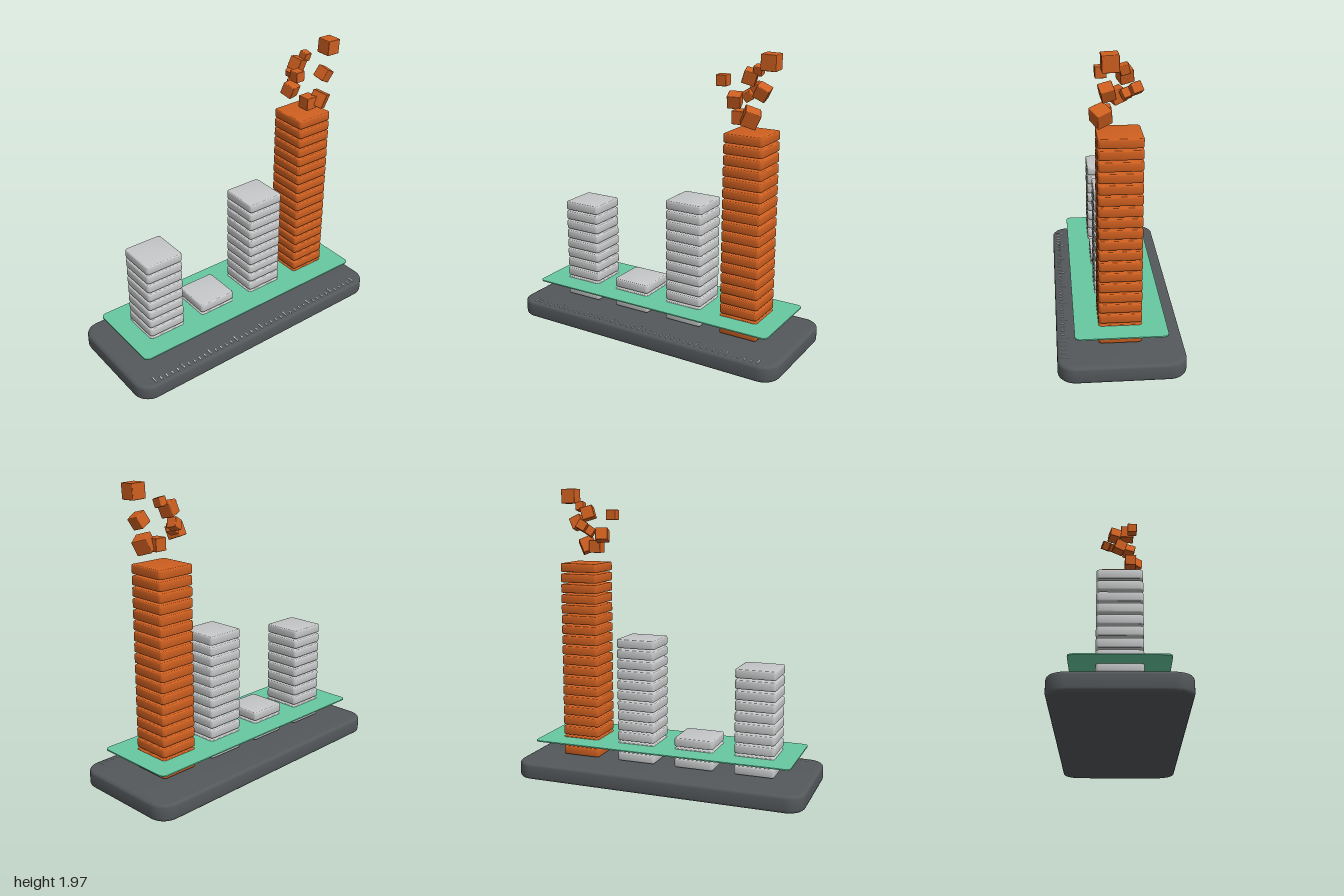
import * as THREE from 'three';
import { toCreasedNormals } from 'three/addons/utils/BufferGeometryUtils.js';
import { RoundedBoxGeometry } from 'three/addons/geometries/RoundedBoxGeometry.js';

const mat = (name, color) => {
  const m = new THREE.MeshStandardMaterial({ color });
  m.name = name;
  return m;
};

// Flat slab with rounded corners and bevelled rims, resting on y = 0
function slabGeometry(width, height, depth, radius, bevel) {
  const x = width / 2, y = depth / 2, r = radius;
  const s = new THREE.Shape();
  s.moveTo(-x + r, -y);
  s.lineTo(x - r, -y);
  s.absarc(x - r, -y + r, r, -Math.PI / 2, 0);
  s.lineTo(x, y - r);
  s.absarc(x - r, y - r, r, 0, Math.PI / 2);
  s.lineTo(-x + r, y);
  s.absarc(-x + r, y - r, r, Math.PI / 2, Math.PI);
  s.lineTo(-x, -y + r);
  s.absarc(-x + r, -y + r, r, Math.PI, Math.PI * 1.5);
  const g = new THREE.ExtrudeGeometry(s, {
    depth: height - 2 * bevel,
    bevelEnabled: bevel > 0,
    bevelThickness: bevel,
    bevelSize: bevel,
    bevelOffset: -bevel,
    bevelSegments: 3,
    curveSegments: 6,
  });
  g.translate(0, 0, bevel);
  g.rotateX(-Math.PI / 2);
  return toCreasedNormals(g, 0.6);
}

export function createModel() {
  const model = new THREE.Group();
  model.name = 'stackedBarChart';

  const charcoal = mat('charcoal', 0x54585b);
  const grey = mat('lightGrey', 0xc6c7c8);
  const orange = mat('orange', 0xce5f20);
  const green = mat('mintGreen', 0x66c8a0);
  const pale = mat('paleTick', 0xdcdedf);

  const add = (name, geometry, material, x, y, z, parent = model) => {
    const m = new THREE.Mesh(geometry, material);
    m.name = name;
    m.position.set(x, y, z);
    parent.add(m);
    return m;
  };

  // Base plinth and the thin threshold sheet that cuts through the columns
  add('base', slabGeometry(2, 0.112, 0.794, 0.115, 0.02), charcoal, 0, 0, 0);
  add('thresholdSheet', slabGeometry(1.794, 0.008, 0.575, 0.035, 0), green, 0, 0.239, 0);

  // Columns of stacked slabs
  const slab = slabGeometry(0.272, 0.059, 0.272, 0.022, 0.008);
  const columns = [
    [-0.625, 10, grey],
    [-0.21, 3, grey],
    [0.206, 12, grey],
    [0.621, 19, orange],
  ];
  columns.forEach(([x, count, material], i) => {
    const column = new THREE.Group();
    column.name = `column${i + 1}`;
    for (let k = 0; k < count; k++) {
      add('slab', slab, material, x, 0.122 + k * 0.0714, 0, column);
    }
    model.add(column);
  });

  // Ruler ticks along the front of the base, every fifth one longer
  const ruler = new THREE.Group();
  ruler.name = 'rulerTicks';
  for (let i = 0; i <= 40; i++) {
    const length = i % 5 === 0 ? 0.048 : 0.025;
    const tick = new THREE.BoxGeometry(0.007, 0.008, length);
    add('tick', tick, pale, -0.88 + i * 0.044, 0.114, 0.37 - length / 2, ruler);
  }
  model.add(ruler);

  // Loose cubes flying off the tallest column: x, y, z, size, rotation x, y, z
  const cubes = [
    [0.767, 1.916, 0.066, 0.1, 0.03, 0.03, -0.03],
    [0.467, 1.79, 0.1, 0.07, 0.02, 0.03, 0],
    [0.585, 1.802, -0.033, 0.085, 0.2, 0.25, -0.35],
    [0.644, 1.847, -0.025, 0.058, 0.25, 0.05, -0.15],
    [0.722, 1.735, 0.08, 0.083, 0.25, 0.1, -0.5],
    [0.6, 1.72, -0.098, 0.065, 0.25, 0.3, 0.45],
    [0.5, 1.655, 0.005, 0.085, 0.35, 0.25, -0.12],
    [0.567, 1.682, -0.045, 0.06, 0.3, 0.3, 0.5],
    [0.583, 1.572, 0.088, 0.085, 0.02, 0.03, 0],
    [0.663, 1.58, 0.112, 0.1, 0.3, 0.45, -0.5],
  ];
  const debris = new THREE.Group();
  debris.name = 'looseCubes';
  for (const [x, y, z, size, rx, ry, rz] of cubes) {
    const cube = new RoundedBoxGeometry(size, size, size, 2, 0.005);
    add('cube', cube, orange, x, y, z, debris).rotation.set(rx, ry, rz);
  }
  model.add(debris);

  return model;
}
